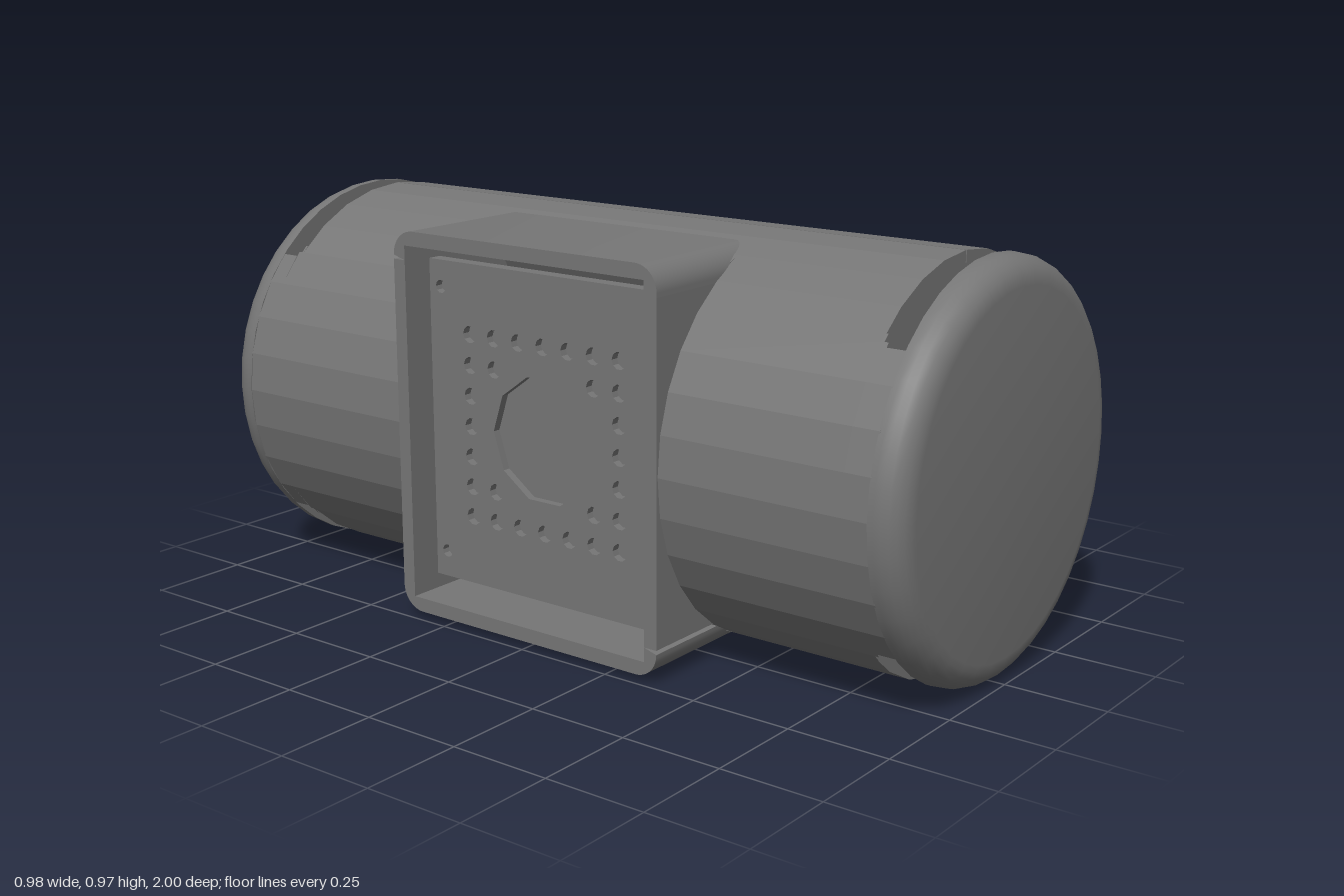
import * as THREE from 'three';
import { toCreasedNormals } from 'three/addons/utils/BufferGeometryUtils.js';

const CY = 0.49, R = 0.486, RI = 0.458, STEPS = 32;
const rad = THREE.MathUtils.degToRad;

const smooth = new THREE.MeshStandardMaterial({ color: 0x767676 });
const faceted = new THREE.MeshStandardMaterial({ color: 0x767676, flatShading: true });

function add(group, name, geometry, material = smooth) {
  const mesh = new THREE.Mesh(geometry, material);
  mesh.name = name;
  group.add(mesh);
  return mesh;
}

// Curved wall between two angles (degrees, 0 = +x, 90 = up), extruded along z.
// Facets always break at the same angles, so neighbouring walls line up.
function curvedWall(a0, a1, z0, z1) {
  const step = 360 / STEPS, angles = [a0];
  for (let k = Math.floor(a0 / step) + 1; k * step < a1; k++) angles.push(k * step);
  angles.push(a1);
  const arc = r => angles.map(a => new THREE.Vector2(r * Math.cos(rad(a)), r * Math.sin(rad(a))));
  const shape = new THREE.Shape([...arc(R), ...arc(RI).reverse()]);
  return new THREE.ExtrudeGeometry(shape, { depth: z1 - z0, bevelEnabled: false }).translate(0, CY, z0);
}

function rectangle(w, h) {
  const x = w / 2, y = h / 2;
  return new THREE.Shape([[-x, -y], [x, -y], [x, y], [-x, y]].map(p => new THREE.Vector2(...p)));
}

function circleHole(x, y, r) {
  const p = new THREE.Path();
  p.absarc(x, y, r, 0, Math.PI * 2, true);
  return p;
}

// Extrude an outline drawn in the z-y plane along +x
function extrudeX(shape, x0, depth, curveSegments) {
  const g = new THREE.ExtrudeGeometry(shape, { depth, bevelEnabled: false, curveSegments });
  return toCreasedNormals(g.rotateY(Math.PI / 2).translate(x0, 0, 0), 0.6);
}

function endCapGeometry() {
  const f = 0.065, r = 0.487;
  const pts = [[0, 0.922], [r, 0.922]].map(p => new THREE.Vector2(...p));
  for (let i = 0; i <= 6; i++) {
    const a = i / 6 * Math.PI / 2;
    pts.push(new THREE.Vector2(r - f + f * Math.cos(a), 1 - f + f * Math.sin(a)));
  }
  pts.push(new THREE.Vector2(0, 1));
  return toCreasedNormals(new THREE.LatheGeometry(pts, 40).rotateX(Math.PI / 2), 0.6);
}

// Top or bottom of the mounting box: flat with rounded corners and short returns
function boxLidShape() {
  const s = new THREE.Shape();
  s.moveTo(0.39, 0.4);
  s.absarc(0.33, 0.41, 0.06, 0, Math.PI / 2);
  s.absarc(-0.33, 0.41, 0.06, Math.PI / 2, Math.PI);
  s.lineTo(-0.39, 0.4);
  s.lineTo(-0.355, 0.4);
  s.lineTo(-0.355, 0.435);
  s.lineTo(0.355, 0.435);
  s.lineTo(0.355, 0.4);
  return s;
}

// Side of the mounting box, cut away where the tube passes through
function boxSideShape() {
  const y = 0.4, a = Math.asin(y / RI), s = new THREE.Shape();
  s.moveTo(-0.49, y);
  s.lineTo(-0.49, -y);
  s.absarc(0, 0, RI, Math.PI + a, Math.PI - a, true);
  return s;
}

export function createModel() {
  const model = new THREE.Group();
  model.name = 'wallLamp';

  // Front half of the tube, and the back half split around the mounting box
  add(model, 'frontShell', curvedWall(-89.8, 89.8, -0.86, 0.86), faceted);
  add(model, 'backShellFront', curvedWall(90.2, 269.8, 0.385, 0.86), faceted);
  add(model, 'backShellRear', curvedWall(90.2, 269.8, -0.86, -0.385), faceted);
  add(model, 'backShellTop', curvedWall(90.2, 116, -0.385, 0.385), faceted);
  add(model, 'backShellBottom', curvedWall(244, 269.8, -0.385, 0.385), faceted);

  // Necks that hold the end caps off the tube, widening where they meet it
  for (const side of [1, -1]) {
    const steps = [[0.86, 0.866, 47.5], [0.866, 0.876, 45], [0.876, 0.925, 43.5]];
    for (const [a, b, half] of steps) {
      const z0 = side > 0 ? a : -b;
      add(model, 'capNeck', curvedWall(180 - half, 180 + half, z0, z0 + b - a), faceted);
    }
    const cap = add(model, 'endCap', endCapGeometry());
    cap.position.y = CY;
    if (side < 0) cap.rotation.y = Math.PI;

    // Board closing the tube end
    const board = add(model, 'endBoard', new THREE.CylinderGeometry(RI, RI, 0.02, STEPS).rotateX(Math.PI / 2));
    board.position.set(0, CY, side * 0.845);
  }

  // Round light board with small chips at the front end
  const lightBoard = add(model, 'lightBoard', new THREE.CylinderGeometry(0.3, 0.3, 0.012, STEPS).rotateX(Math.PI / 2));
  lightBoard.position.set(0, CY, 0.86);
  for (let i = 0; i < 12; i++) {
    const a = i / 12 * Math.PI * 2;
    const chip = add(model, 'lightChip', new THREE.BoxGeometry(0.04, 0.04, 0.008));
    chip.position.set(0.25 * Math.cos(a), CY + 0.25 * Math.sin(a), 0.868);
  }

  // Mounting box, open towards the wall
  for (const side of [1, -1]) {
    const lid = add(model, 'mountingBoxLid', extrudeX(boxLidShape(), -0.49, 0.39, 5));
    lid.position.y = CY;
    if (side < 0) lid.rotation.x = Math.PI;
    const wall = new THREE.ExtrudeGeometry(boxSideShape(), { depth: 0.035, bevelEnabled: false, curveSegments: 16 });
    add(model, 'mountingBoxSide', wall).position.set(0, CY, side > 0 ? 0.355 : -0.39);
  }

  // Recessed mounting plate with cable opening and screw holes
  const plate = rectangle(0.7, 0.79);
  plate.holes.push(circleHole(0, 0, 0.155));
  for (let i = -3; i <= 3; i++) {
    for (let j = -3; j <= 3; j++) {
      if (Math.hypot(i, j) > 2.5) plate.holes.push(circleHole(i * 0.075, j * 0.075, 0.021));
    }
  }
  for (const sx of [-1, 1]) {
    for (const sy of [-1, 1]) plate.holes.push(circleHole(sx * 0.315, sy * 0.33, 0.016));
  }
  add(model, 'mountingPlate', extrudeX(plate, -0.412, 0.02, 5)).position.y = CY;
  add(model, 'backingPlate', extrudeX(rectangle(0.7, 0.79), -0.392, 0.015, 1)).position.y = CY;

  return model;
}
